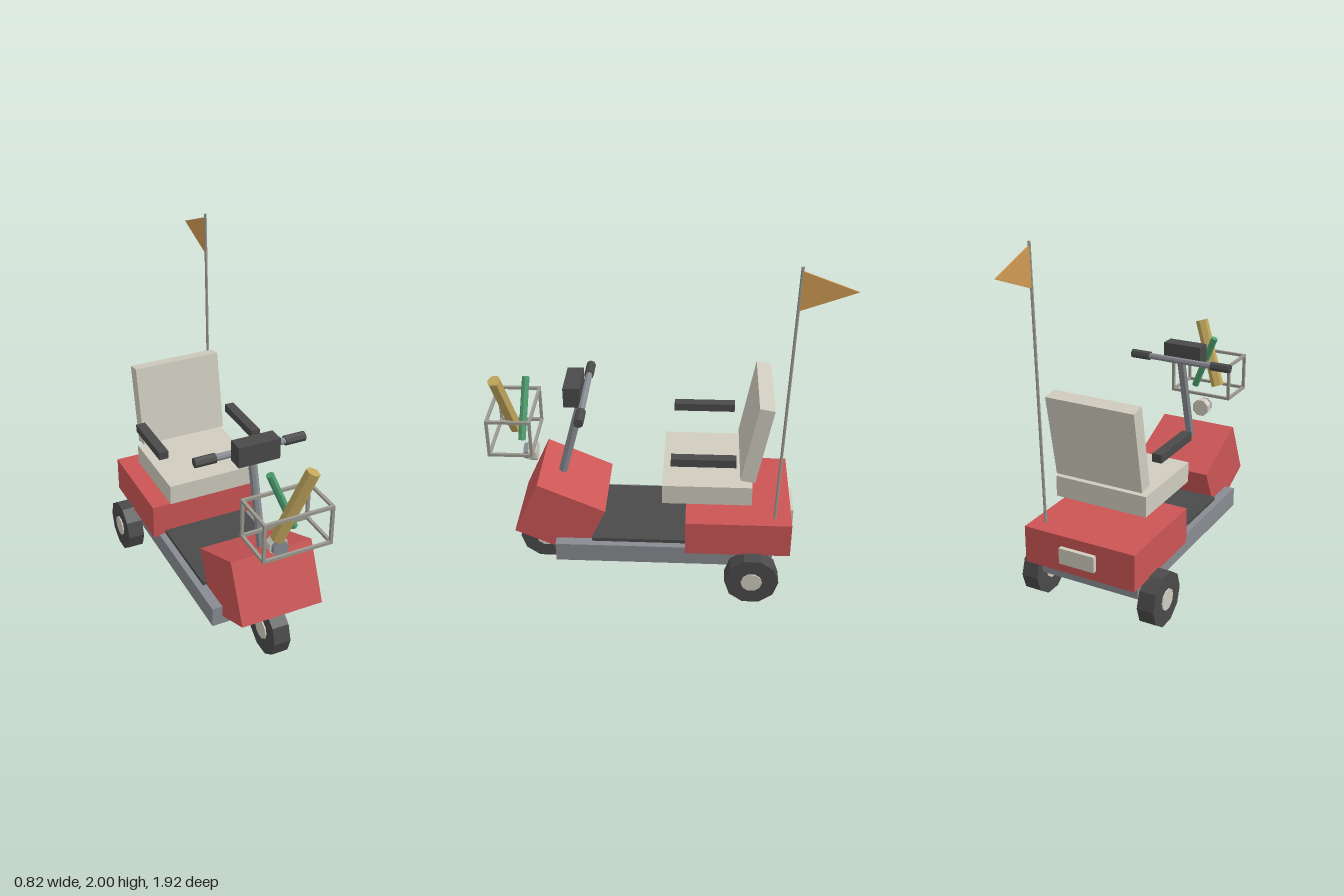
import * as THREE from 'three';

const mat = (name, color) => {
  const m = new THREE.MeshStandardMaterial({ color, flatShading: true });
  m.name = name;
  return m;
};

export function createModel() {
  const root = new THREE.Group();
  root.name = 'mobilityScooter';
  const red = mat('red body', 0xcc5555);
  const cream = mat('cream', 0xd0ccbf);
  const dark = mat('dark rubber', 0x4a4a4a);
  const grey = mat('grey metal', 0x888b91);
  const wire = mat('wire', 0x9c9a90);
  const orange = mat('orange flag', 0xcf9a52);
  const yellow = mat('yellow', 0xc0a65c);
  const green = mat('green', 0x4fa070);

  const add = (name, geometry, material, x, y, z) => {
    const mesh = new THREE.Mesh(geometry, material);
    mesh.name = name;
    mesh.position.set(x, y, z);
    root.add(mesh);
    return mesh;
  };
  const box = (name, material, w, h, d, x, y, z) =>
    add(name, new THREE.BoxGeometry(w, h, d), material, x, y, z);
  // Cylinder lying along x
  const axle = (name, material, r, len, sides, x, y, z) =>
    add(name, new THREE.CylinderGeometry(r, r, len, sides).rotateZ(Math.PI / 2), material, x, y, z);
  // Cylinder between two points
  const rod = (name, material, r, sides, from, to) => {
    const a = new THREE.Vector3(...from), b = new THREE.Vector3(...to);
    const dir = b.clone().sub(a), mid = a.clone().add(b).multiplyScalar(0.5);
    const mesh = add(name, new THREE.CylinderGeometry(r, r, dir.length(), sides), material, mid.x, mid.y, mid.z);
    mesh.quaternion.setFromUnitVectors(new THREE.Vector3(0, 1, 0), dir.normalize());
    return mesh;
  };

  // Chassis and body
  box('chassis', grey, 0.59, 0.115, 1.23, 0, 0.233, -0.01);
  box('floorMat', dark, 0.515, 0.03, 0.65, 0, 0.297, 0.075);
  box('rearBody', red, 0.66, 0.21, 0.59, 0, 0.385, -0.427);
  box('rearLight', cream, 0.21, 0.09, 0.03, 0, 0.385, -0.732);
  box('frontCowl', red, 0.472, 0.351, 0.413, 0, 0.408, 0.581).rotation.x = -0.423;

  // Wheels with hubs
  for (const [name, x, z] of [['frontWheel', 0, 0.7], ['leftRearWheel', 0.357, -0.51], ['rightRearWheel', -0.357, -0.51]]) {
    axle(name, dark, 0.152, 0.096, 10, x, 0.146, z);
    axle(name + 'Hub', cream, 0.06, 0.11, 10, x, 0.146, z);
  }

  // Seat
  axle('seatPost', grey, 0.034, 0.12, 8, 0, 0.54, -0.248).rotation.z = Math.PI / 2;
  box('seatCushion', cream, 0.545, 0.117, 0.495, 0, 0.643, -0.248);
  box('backrest', cream, 0.517, 0.467, 0.083, 0, 0.963, -0.51).rotation.x = -0.18;
  for (const s of [-1, 1]) {
    box(s > 0 ? 'leftArmrest' : 'rightArmrest', dark, 0.055, 0.046, 0.35, s * 0.285, 0.883, -0.225);
  }

  // Steering
  rod('steeringColumn', grey, 0.025, 8, [0, 0.56, 0.593], [0, 1.12, 0.445]);
  axle('handlebar', grey, 0.019, 0.5, 8, 0, 1.12, 0.434);
  for (const s of [-1, 1]) {
    axle(s > 0 ? 'leftGrip' : 'rightGrip', dark, 0.027, 0.118, 8, s * 0.258, 1.12, 0.434);
  }
  box('console', dark, 0.236, 0.117, 0.09, 0, 1.153, 0.495);

  // Headlight
  add('headlightBack', new THREE.CylinderGeometry(0.054, 0.054, 0.048, 8).rotateX(Math.PI / 2).rotateZ(Math.PI / 8), cream, 0, 0.727, 0.744);
  add('headlightFront', new THREE.CylinderGeometry(0.046, 0.046, 0.03, 8).rotateX(Math.PI / 2).rotateZ(Math.PI / 8), grey, 0, 0.727, 0.781);

  // Basket: twelve wire edges
  const t = 0.016, hx = 0.187, hy = 0.105, hz = 0.117, by = 0.927, bz = 0.838;
  for (const a of [-1, 1]) {
    for (const b of [-1, 1]) {
      box('basketWireAcross', wire, hx * 2 + t, t, t, 0, by + a * hy, bz + b * hz);
      box('basketWireUpright', wire, t, hy * 2, t, a * hx, by, bz + b * hz);
      box('basketWireSide', wire, t, t, hz * 2, a * hx, by + b * hy, bz);
    }
  }

  // Rolls carried in the basket
  rod('yellowRoll', yellow, 0.038, 6, [-0.058, 0.845, 0.848], [0.09, 1.235, 0.912]);
  rod('greenRoll', green, 0.021, 8, [0.07, 0.847, 0.792], [-0.065, 1.177, 0.768]);

  // Flag on a leaning pole
  rod('flagPole', wire, 0.008, 6, [0.26, 0.48, -0.628], [0.26, 2, -0.674]);
  const shape = new THREE.Shape([[0.674, 1.77], [0.955, 1.875], [0.674, 1.98]].map(p => new THREE.Vector2(...p)));
  const flag = new THREE.ExtrudeGeometry(shape, { depth: 0.008, bevelEnabled: false });
  flag.rotateY(Math.PI / 2);
  add('flag', flag, orange, 0.256, 0, 0);

  return root;
}
